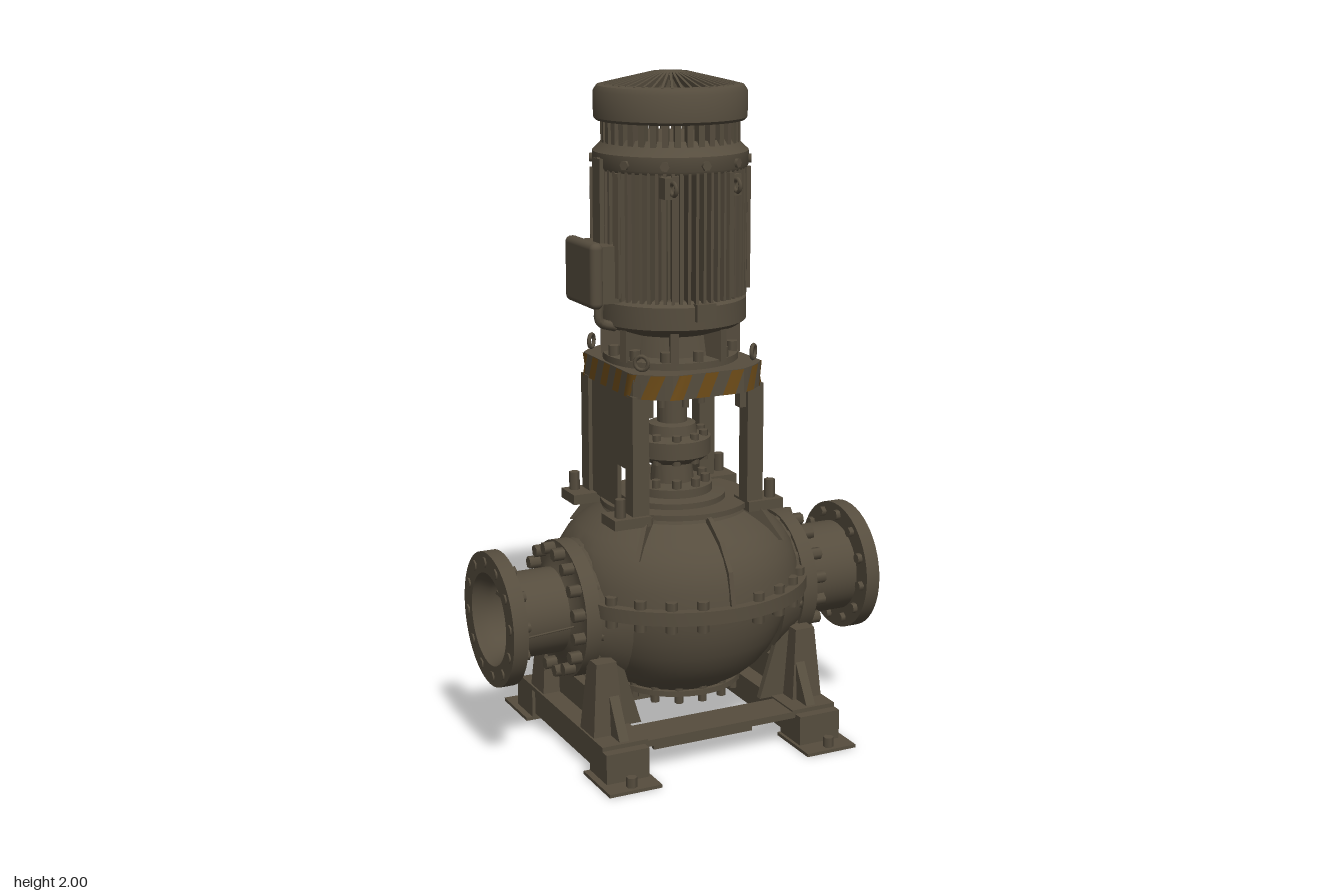
import * as THREE from 'three';
import { mergeGeometries, toCreasedNormals } from 'three/addons/utils/BufferGeometryUtils.js';
import { RoundedBoxGeometry } from 'three/addons/geometries/RoundedBoxGeometry.js';

const material = (name, color, side = THREE.FrontSide) => {
  const m = new THREE.MeshStandardMaterial({ color, side });
  m.name = name;
  return m;
};

export function createModel() {
  const model = new THREE.Group();
  model.name = 'verticalPump';
  const paint = material('olive paint', 0x564d3e);
  const amber = material('amber stripe', 0x6e4c18, THREE.DoubleSide);

  const add = (name, geo, parent = model, mat = paint) => {
    const mesh = new THREE.Mesh(geo, mat);
    mesh.name = name;
    parent.add(mesh);
    return mesh;
  };
  const boxGeo = (x0, x1, y0, y1, z0, z1) =>
    new THREE.BoxGeometry(x1 - x0, y1 - y0, z1 - z0).translate((x0 + x1) / 2, (y0 + y1) / 2, (z0 + z1) / 2);
  const cylGeo = (r0, r1, y0, y1, n = 32) =>
    new THREE.CylinderGeometry(r1, r0, y1 - y0, n).translate(0, (y0 + y1) / 2, 0);
  const vectors = (pts) => pts.map(p => new THREE.Vector2(...p));
  const latheGeo = (pts, n = 48) => toCreasedNormals(new THREE.LatheGeometry(vectors(pts), n), 0.6);
  const plateGeo = (pts, depth) => new THREE.ExtrudeGeometry(new THREE.Shape(vectors(pts)), { depth, bevelEnabled: false })
    .translate(0, 0, -depth / 2);
  // Copies of one geometry spread around the y axis
  const ring = (geo, n, radius, start = 0) => mergeGeometries(Array.from({ length: n }, (_, i) =>
    geo.clone().translate(radius, 0, 0).rotateY(start + i * Math.PI * 2 / n)));
  // Calls a builder for each of the four corners
  const corners = (fn) => [1, -1].forEach(sx => [1, -1].forEach(sz => fn(sx, sz)));
  const span = (s, a, b) => s > 0 ? [a, b] : [-b, -a];
  const bolt = (r, y0, y1) => cylGeo(r, r, y0, y1, 6);

  // Base frame: side beams, cross members, corner feet
  const base = new THREE.Group();
  base.name = 'baseFrame';
  model.add(base);
  for (const s of [1, -1]) {
    add('sideBeam', boxGeo(...span(s, 0.255, 0.375), 0.02, 0.1, -0.31, 0.31), base);
    add('beamCap', boxGeo(...span(s, 0.24, 0.385), 0.1, 0.113, -0.31, 0.31), base);
    add('crossMember', boxGeo(-0.26, 0.26, 0.088, 0.108, ...span(s, 0.19, 0.31)), base);
    add('crossWeb', boxGeo(-0.165, 0.165, 0.02, 0.09, ...span(s, 0.18, 0.195)), base);
  }
  corners((sx, sz) => {
    add('footPlate', boxGeo(...span(sx, 0.24, 0.405), 0, 0.01, ...span(sz, 0.22, 0.405)), base);
    add('footBlock', boxGeo(...span(sx, 0.25, 0.385), 0.01, 0.1, ...span(sz, 0.22, 0.34)), base);
    add('anchorBolt', bolt(0.016, 0.01, 0.04).translate(sx * 0.325, 0, sz * 0.38), base);
  });

  // Pedestals: sloping web with tapered posts and gussets on each side
  for (const s of [1, -1]) {
    add('pedestalWeb', plateGeo([[-0.3, 0.11], [-0.2, 0.28], [-0.12, 0.28], [-0.08, 0.2], [0.08, 0.2],
      [0.12, 0.28], [0.2, 0.28], [0.3, 0.11]], 0.03).rotateY(-Math.PI / 2).translate(s * 0.31, 0, 0));
    for (const t of [1, -1]) {
      add('pedestalPost', new THREE.CylinderGeometry(0.045, 0.07, 0.22, 4, 1).toNonIndexed()
        .rotateY(Math.PI / 4).translate(s * 0.33, 0.22, t * 0.19)).geometry.computeVertexNormals();
      add('pedestalGusset', plateGeo([[0.2, 0.11], [0.3, 0.11], [0.3, 0.33], [0.265, 0.32]], 0.02)
        .translate(0, 0, t * 0.17).rotateY(s > 0 ? 0 : Math.PI));
    }
  }

  // Split casing, flattened where the nozzles join
  const flatten = (geo, limit) => {
    const p = geo.attributes.position;
    for (let i = 0; i < p.count; i++) p.setX(i, THREE.MathUtils.clamp(p.getX(i), -limit, limit));
    return toCreasedNormals(geo, 0.6);
  };
  add('lowerCasing', flatten(latheGeo([[0, 0.165], [0.17, 0.165], [0.19, 0.19], [0.225, 0.21], [0.265, 0.245],
    [0.295, 0.285], [0.318, 0.33], [0.334, 0.38], [0.342, 0.425], [0.345, 0.462]], 64), 0.33));
  add('casingFlange', flatten(latheGeo([[0.33, 0.462], [0.4, 0.462], [0.4, 0.503], [0.33, 0.503]], 64), 0.345));
  add('upperCasing', flatten(latheGeo([[0.372, 0.5], [0.366, 0.545], [0.352, 0.59], [0.328, 0.63], [0.295, 0.663],
    [0.255, 0.69], [0.22, 0.71], [0.215, 0.722], [0.225, 0.722], [0.225, 0.738], [0, 0.738]], 64), 0.335));
  const boltSet = [];
  for (let i = 0; i < 26; i++) {
    const a = i * Math.PI / 13;
    if (i % 13 && Math.abs(Math.sin(a)) < 0.86)
      boltSet.push(...[1, -1].map(() => null).slice(2), bolt(0.018, 0.435, 0.527)
        .translate(0.375 * Math.sin(a), 0, 0.375 * Math.cos(a)));
  }
  add('casingFlangeBolts', mergeGeometries(boltSet));
  add('bottomCover', cylGeo(0.2, 0.2, 0.168, 0.185));
  add('bottomCoverBolts', ring(bolt(0.014, 0.145, 0.2), 16, 0.185));
  add('drainBoss', cylGeo(0.035, 0.05, 0.11, 0.17, 16));
  const ribGeo = plateGeo([[0.21, 0.73], [0.235, 0.725], [0.305, 0.675], [0.362, 0.6], [0.384, 0.5], [0.3, 0.5]], 0.014);
  for (const a of [90, 270]) add('casingRib', ribGeo.clone().rotateY(a * Math.PI / 180));
  const shortRib = plateGeo([[0.2, 0.73], [0.265, 0.73], [0.34, 0.63], [0.27, 0.63]], 0.014);
  for (const a of [45, 135, 225, 315]) add('shoulderRib', shortRib.clone().rotateY(a * Math.PI / 180));

  // Nozzles: hollow pipe with joint flange, end flange and bolts
  for (const [s, r] of [[1, 0.14], [-1, 0.127]]) {
    const nozzle = new THREE.Group();
    nozzle.name = s > 0 ? 'leftNozzle' : 'rightNozzle';
    nozzle.position.y = 0.437;
    nozzle.rotation.z = -s * Math.PI / 2;
    model.add(nozzle);
    add('neck', cylGeo(0.24, 0.19, 0.25, 0.345), nozzle);
    add('jointFlange', latheGeo([[0, 0.335], [0.205, 0.335], [0.205, 0.382], [0.16, 0.382], [r, 0.4]]), nozzle);
    add('jointBolts', ring(bolt(0.019, 0.32, 0.417), 16, 0.183, 0.2), nozzle);
    add('pipe', latheGeo([[r, 0.38], [r, 0.56], [0.2, 0.56], [0.2, 0.605], [0.138, 0.605], [0.132, 0.59],
      [r - 0.012, 0.56], [r - 0.012, 0.4], [0, 0.4]]), nozzle);
    add('endFlangeBolts', ring(bolt(0.016, 0.545, 0.61), 12, 0.17, 0.13), nozzle);
    add('innerVane', boxGeo(-0.006, 0.006, 0.4, 0.54, -r + 0.01, r - 0.01).translate(-s * 0.04, 0, 0), nozzle);
  }
  add('ventPipe', new THREE.TubeGeometry(new THREE.LineCurve3(
    new THREE.Vector3(-0.56, 0.41, 0.13), new THREE.Vector3(-0.41, 0.44, 0.175)), 1, 0.003, 6));

  // Lantern: four posts with feet, a side panel and an oblong top plate
  const lantern = new THREE.Group();
  lantern.name = 'lantern';
  lantern.position.x = -0.012;
  model.add(lantern);
  corners((sx, sz) => {
    add('post', boxGeo(...span(sx, 0.16, 0.212), 0.73, 1.1, ...span(sz, 0.13, 0.182)), lantern);
    add('postFoot', boxGeo(...span(sx, 0.16, 0.275), 0.715, 0.745, ...span(sz, 0.1, 0.195)), lantern);
    add('postFootBolt', bolt(0.016, 0.74, 0.8).translate(sx * 0.245, 0, sz * 0.165), lantern);
    add('postBracket', boxGeo(...span(sx, 0.14, 0.165), 1.03, 1.1, ...span(sz, 0.14, 0.17)), lantern);
    add('plateEye', new THREE.TorusGeometry(0.02, 0.006, 6, 14).rotateY(Math.PI / 4 * sx * sz)
      .translate(sx * 0.18, 1.195, sz * 0.175), lantern);
  });
  add('sidePanel', boxGeo(-0.2, -0.188, 0.87, 1.1, -0.14, 0.14), lantern);
  add('lowerSidePanel', boxGeo(-0.2, -0.188, 0.74, 0.87, -0.14, 0.05), lantern);
  const outline = (t, grow = 0) => {
    const a = t * Math.PI * 2, c = THREE.MathUtils.clamp;
    return new THREE.Vector2(c(0.268 * Math.cos(a), -0.21, 0.21) * (1 + grow), c(0.268 * Math.sin(a), -0.245, 0.245) * (1 + grow));
  };
  const plate = new THREE.Shape(Array.from({ length: 72 }, (_, i) => outline(i / 72)));
  add('topPlate', new THREE.ExtrudeGeometry(plate, { depth: 0.072, bevelEnabled: false })
    .rotateX(Math.PI / 2).translate(0, 1.165, 0), lantern);
  // Slanted hazard stripes following the plate edge
  const stripes = [], index = [];
  for (let i = 0; i < 20; i++) for (let j = 0; j <= 4; j++) {
    const t = (i + j / 8) / 20, low = outline(t, 0.01), high = outline(t - 0.018, 0.01), k = stripes.length / 3;
    stripes.push(low.x, 1.094, low.y, high.x, 1.164, high.y);
    if (j < 4) index.push(k, k + 1, k + 2, k + 1, k + 3, k + 2);
  }
  const stripeGeo = new THREE.BufferGeometry();
  stripeGeo.setAttribute('position', new THREE.Float32BufferAttribute(stripes, 3));
  stripeGeo.setIndex(index);
  stripeGeo.computeVertexNormals();
  add('hazardStripes', stripeGeo, lantern, amber);

  // Shaft seal and coupling
  const shaft = new THREE.Group();
  shaft.name = 'shaftCoupling';
  shaft.position.x = -0.01;
  model.add(shaft);
  add('coupling', latheGeo([[0.16, 0.735], [0.16, 0.755], [0.12, 0.76], [0.12, 0.785], [0.065, 0.79], [0.06, 0.85],
    [0.09, 0.855], [0.115, 0.875], [0.115, 0.925], [0.075, 0.935], [0.07, 0.965], [0.045, 0.97], [0.045, 1.06],
    [0.11, 1.065], [0.115, 1.1]]), shaft);
  add('sealBolts', ring(bolt(0.014, 0.75, 0.81), 10, 0.1), shaft);
  add('couplingBolts', ring(bolt(0.014, 0.855, 0.945), 10, 0.095), shaft);
  add('bearingBolts', ring(bolt(0.012, 1.03, 1.1), 8, 0.09), shaft);

  // Motor
  const motor = new THREE.Group();
  motor.name = 'motor';
  motor.position.x = -0.015;
  model.add(motor);
  add('mountingFoot', latheGeo([[0.2, 1.16], [0.2, 1.185], [0.15, 1.19], [0.14, 1.25], [0.2, 1.27], [0.222, 1.285],
    [0.222, 1.35], [0.205, 1.365], [0, 1.365]]), motor);
  add('footRibs', ring(boxGeo(-0.035, 0.035, 1.18, 1.29, -0.012, 0.012), 8, 0.17, 0.39), motor);
  add('footBolts', ring(bolt(0.017, 1.18, 1.215), 12, 0.182), motor);
  add('statorCore', cylGeo(0.175, 0.175, 1.36, 1.74, 48), motor);
  add('coolingFins', ring(boxGeo(-0.03, 0.03, 1.36, 1.73, -0.0045, 0.0045), 60, 0.193), motor);
  add('deepFins', ring(boxGeo(-0.035, 0.035, 1.37, 1.725, -0.01, 0.01), 8, 0.198, 0.39), motor);
  add('upperShield', latheGeo([[0.17, 1.72], [0.22, 1.725], [0.226, 1.735], [0.226, 1.775], [0.205, 1.795],
    [0.19, 1.815], [0, 1.815]]), motor);
  add('shieldBolts', ring(bolt(0.014, -0.012, 0.01).rotateZ(-Math.PI / 2).translate(0, 1.75, 0), 12, 0.224), motor);
  add('cowlPosts', ring(boxGeo(-0.014, 0.014, 1.79, 1.87, -0.009, 0.009), 36, 0.187), motor);
  add('fanCowl', latheGeo([[0, 1.862], [0.215, 1.862], [0.222, 1.87], [0.222, 1.945], [0.212, 1.96], [0.187, 1.965],
    [0.187, 1.9], [0, 1.9]]), motor);
  add('cowlGrille', ring(new THREE.BoxGeometry(0.145, 0.014, 0.007).rotateZ(-0.23), 44, 0.122)
    .translate(0, 1.974, 0), motor);
  add('cowlHub', latheGeo([[0, 1.96], [0.062, 1.96], [0.062, 1.988], [0.045, 1.997], [0, 2]], 32), motor);
  for (const [x, s] of [[0.1, 1], [-0.1, 1], [0.1, -1]]) {
    add('liftingEye', new THREE.TorusGeometry(0.018, 0.006, 6, 16).rotateY(Math.PI / 2)
      .translate(x, 1.69, s * 0.225), motor);
    add('eyePad', boxGeo(x - 0.02, x + 0.02, 1.66, 1.72, ...span(s, 0.17, 0.212)), motor);
  }
  for (const s of [1, -1])
    add('drainPad', boxGeo(-0.03, 0.03, 1.31, 1.36, ...span(s, 0.21, 0.235)), motor);

  // Terminal box with lid and cable conduit
  add('terminalBox', boxGeo(-0.275, -0.17, 1.355, 1.52, -0.085, 0.085), motor);
  add('terminalLid', new RoundedBoxGeometry(0.04, 0.19, 0.2, 3, 0.018).translate(-0.275, 1.437, 0), motor);
  add('conduit', new THREE.TubeGeometry(new THREE.CatmullRomCurve3([[-0.25, 1.36, 0.05], [-0.25, 1.3, 0.05],
    [-0.2, 1.28, 0.05]].map(p => new THREE.Vector3(...p))), 10, 0.014, 8), motor);
  add('cableDuct', boxGeo(-0.235, -0.2, 1.52, 1.76, -0.025, 0.025), motor);
  return model;
}
